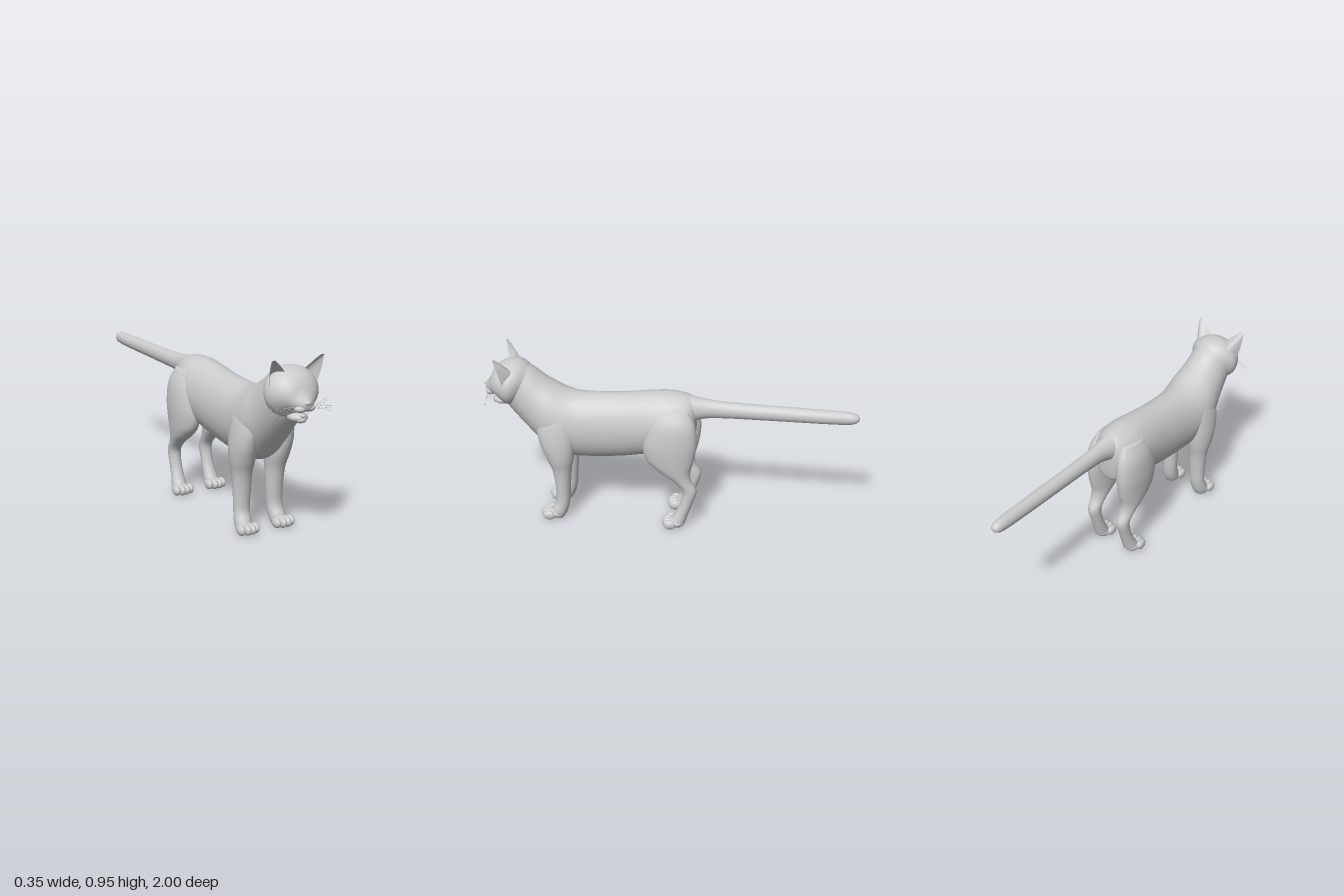
import * as THREE from 'three';

const fur = new THREE.MeshStandardMaterial({ color: 0xcccccc });
const thin = new THREE.MeshStandardMaterial({ color: 0xcccccc, side: THREE.DoubleSide });

function add(parent, name, geometry, material = fur) {
  const mesh = new THREE.Mesh(geometry, material);
  mesh.name = name;
  parent.add(mesh);
  return mesh;
}

// Smooth skin over oval sections [zA, yA, zB, yB, centreX, halfWidth]:
// A and B are opposite ends of each oval in the side plane.
function loft(sections, around = 28, steps = 5) {
  const spline = (f) => new THREE.CatmullRomCurve3(sections.map(f), false, 'catmullrom', 0.5);
  const a = spline((s) => new THREE.Vector3(0, s[1], s[0]));
  const b = spline((s) => new THREE.Vector3(0, s[3], s[2]));
  const c = spline((s) => new THREE.Vector3(s[4], s[5], 0));
  const rows = (sections.length - 1) * steps;
  const pos = [], index = [];
  for (let i = 0; i <= rows; i++) {
    const A = a.getPoint(i / rows), B = b.getPoint(i / rows), C = c.getPoint(i / rows);
    for (let j = 0; j < around; j++) {
      const t = (j / around) * Math.PI * 2, k = (1 + Math.cos(t)) / 2;
      const p = B.clone().lerp(A, k);
      pos.push(C.x + C.y * Math.sin(t), p.y, p.z);
      if (i < rows) {
        const n = (j + 1) % around, r = i * around, q = r + around;
        index.push(r + j, q + j, r + n, r + n, q + j, q + n);
      }
    }
  }
  // Close both ends
  for (const [row, flip] of [[0, false], [rows, true]]) {
    const s = sections[row ? sections.length - 1 : 0], centre = pos.length / 3;
    pos.push(s[4], (s[1] + s[3]) / 2, (s[0] + s[2]) / 2);
    for (let j = 0; j < around; j++) {
      const p = row * around + j, q = row * around + ((j + 1) % around);
      index.push(centre, flip ? q : p, flip ? p : q);
    }
  }
  const g = new THREE.BufferGeometry();
  g.setAttribute('position', new THREE.Float32BufferAttribute(pos, 3));
  g.setIndex(index);
  g.computeVertexNormals();
  return g;
}

function blob(x, y, z, rx, ry, rz) {
  return new THREE.SphereGeometry(1, 20, 14).scale(rx, ry, rz).translate(x, y, z);
}

// Cupped ear: a sheet between two edges, bulging backwards
function earGeometry(side) {
  const V = (x, y, z) => new THREE.Vector3(x, y, z);
  const inner = new THREE.QuadraticBezierCurve3(V(0.048, 0.868, 0.87), V(0.09, 0.915, 0.885), V(0.13, 0.946, 0.903));
  const outer = new THREE.QuadraticBezierCurve3(V(0.134, 0.80, 0.865), V(0.15, 0.87, 0.88), V(0.147, 0.94, 0.9));
  const g = new THREE.PlaneGeometry(1, 1, 12, 12), p = g.attributes.position;
  for (let i = 0; i < p.count; i++) {
    const u = p.getX(i) + 0.5, v = p.getY(i) + 0.5, arch = Math.sin(Math.PI * u);
    const q = inner.getPoint(v).lerp(outer.getPoint(v), u);
    p.setXYZ(i, side * (q.x + 0.006 * arch * v), q.y + 0.012 * arch * (1 - v), q.z - 0.055 * arch * (1 - v));
  }
  g.computeVertexNormals();
  return g;
}

function addPaw(parent, side, x, z) {
  add(parent, 'pawPad', blob(side * x, 0.028, z, 0.047, 0.028, 0.055));
  for (const k of [-1.5, -0.5, 0.5, 1.5]) {
    const outerToe = Math.abs(k) > 1 ? 0.012 : 0;
    add(parent, 'toe', blob(side * x + k * 0.0275, 0.027, z + 0.038 - outerToe, 0.018, 0.027, 0.034));
  }
}

export function createModel() {
  const cat = new THREE.Group();
  cat.name = 'cat';

  // Torso and neck, rump to throat
  add(cat, 'torso', loft([
    [-0.15, 0.69, -0.15, 0.60, 0, 0.03], [-0.135, 0.735, -0.14, 0.50, 0, 0.075],
    [-0.09, 0.757, -0.11, 0.46, 0, 0.11], [0, 0.766, 0, 0.42, 0, 0.138],
    [0.12, 0.757, 0.12, 0.395, 0, 0.133], [0.25, 0.74, 0.25, 0.37, 0, 0.128],
    [0.40, 0.73, 0.40, 0.355, 0, 0.13], [0.49, 0.73, 0.51, 0.355, 0, 0.138],
    [0.55, 0.743, 0.62, 0.37, 0, 0.15], [0.60, 0.765, 0.70, 0.45, 0, 0.146],
    [0.66, 0.80, 0.78, 0.535, 0, 0.128], [0.72, 0.845, 0.85, 0.615, 0, 0.117],
    [0.78, 0.88, 0.88, 0.66, 0, 0.112],
  ]));

  // Tail, tip to root
  add(cat, 'tail', loft([
    [-1, 0.69, -1, 0.678, 0, 0.006], [-0.985, 0.705, -0.985, 0.66, 0, 0.024],
    [-0.94, 0.717, -0.94, 0.648, 0, 0.032], [-0.8, 0.72, -0.8, 0.643, 0, 0.035],
    [-0.55, 0.722, -0.55, 0.64, 0, 0.037], [-0.3, 0.727, -0.3, 0.635, 0, 0.038],
    [-0.19, 0.737, -0.19, 0.625, 0, 0.045], [-0.09, 0.755, -0.1, 0.59, 0, 0.07],
  ], 20));

  const head = new THREE.Group();
  head.name = 'head';
  cat.add(head);
  // Skull, narrowing to the muzzle
  add(head, 'skull', loft([
    [0.73, 0.845, 0.80, 0.68, 0, 0.09], [0.78, 0.884, 0.82, 0.655, 0, 0.125],
    [0.825, 0.895, 0.845, 0.645, 0, 0.142], [0.87, 0.888, 0.875, 0.652, 0, 0.136],
    [0.91, 0.866, 0.905, 0.675, 0, 0.115], [0.94, 0.832, 0.935, 0.695, 0, 0.086],
    [0.96, 0.792, 0.96, 0.70, 0, 0.056], [0.982, 0.762, 0.98, 0.705, 0, 0.032],
    [0.992, 0.752, 0.988, 0.715, 0, 0.014],
  ], 36));
  add(head, 'nose', blob(0, 0.745, 0.984, 0.016, 0.012, 0.016));
  add(head, 'lowerJaw', blob(0, 0.66, 0.902, 0.05, 0.026, 0.052));
  add(head, 'chin', blob(0, 0.652, 0.93, 0.03, 0.017, 0.027));
  add(head, 'tongue', blob(0, 0.674, 0.935, 0.016, 0.011, 0.026));

  for (const side of [1, -1]) {
    const s = side > 0 ? 'left' : 'right';
    add(head, s + 'Ear', earGeometry(side), thin);
    add(head, s + 'Eye', blob(side * 0.06, 0.777, 0.922, 0.026, 0.022, 0.027));
    add(head, s + 'Cheek', blob(side * 0.024, 0.715, 0.958, 0.031, 0.02, 0.03));
    add(head, s + 'Fang', new THREE.ConeGeometry(0.004, 0.018, 8).rotateX(Math.PI).translate(side * 0.017, 0.694, 0.965));

    // Whiskers
    for (let i = 0; i < 6; i++) {
      const y = 0.705 + 0.003 * i;
      const path = new THREE.QuadraticBezierCurve3(
        new THREE.Vector3(side * 0.035, y, 0.965),
        new THREE.Vector3(side * 0.09, y + 0.008, 0.975 - 0.006 * i),
        new THREE.Vector3(side * (0.15 + 0.012 * (i % 3)), 0.68 + 0.009 * i, 0.965 - 0.014 * i));
      add(head, s + 'Whisker', new THREE.TubeGeometry(path, 10, 0.0007, 4));
    }

    // Front leg, shoulder to paw
    const front = new THREE.Group();
    front.name = s + 'FrontLeg';
    cat.add(front);
    const frontRows = [
      [0.64, 0.66, 0.54, 0.67, 0.095, 0.025], [0.695, 0.57, 0.505, 0.59, 0.103, 0.05],
      [0.685, 0.47, 0.498, 0.47, 0.109, 0.06], [0.655, 0.38, 0.503, 0.38, 0.102, 0.064],
      [0.625, 0.30, 0.518, 0.30, 0.098, 0.053], [0.612, 0.20, 0.528, 0.20, 0.096, 0.047],
      [0.61, 0.11, 0.535, 0.10, 0.098, 0.043], [0.635, 0.058, 0.55, 0.04, 0.102, 0.044],
      [0.65, 0.02, 0.57, 0.003, 0.104, 0.04],
    ];
    add(front, 'leg', loft(frontRows.map((r) => [...r.slice(0, 4), side * r[4], r[5]]), 24));
    addPaw(front, side, 0.105, 0.62);

    // Hind leg, thigh to paw
    const hind = new THREE.Group();
    hind.name = s + 'HindLeg';
    cat.add(hind);
    const hindRows = [
      [0.06, 0.70, -0.11, 0.70, 0.085, 0.03], [0.10, 0.62, -0.152, 0.62, 0.094, 0.06],
      [0.128, 0.51, -0.162, 0.51, 0.099, 0.067], [0.11, 0.41, -0.147, 0.41, 0.1, 0.06],
      [0.045, 0.345, -0.13, 0.34, 0.1, 0.051], [-0.035, 0.29, -0.137, 0.285, 0.099, 0.041],
      [-0.085, 0.23, -0.165, 0.225, 0.098, 0.035], [-0.077, 0.15, -0.142, 0.14, 0.098, 0.033],
      [-0.052, 0.09, -0.12, 0.075, 0.099, 0.036], [-0.03, 0.052, -0.105, 0.03, 0.101, 0.04],
      [-0.02, 0.02, -0.085, 0.003, 0.102, 0.037],
    ];
    add(hind, 'leg', loft(hindRows.map((r) => [...r.slice(0, 4), side * r[4], r[5]]), 24));
    addPaw(hind, side, 0.102, -0.05);
  }
  return cat;
}
